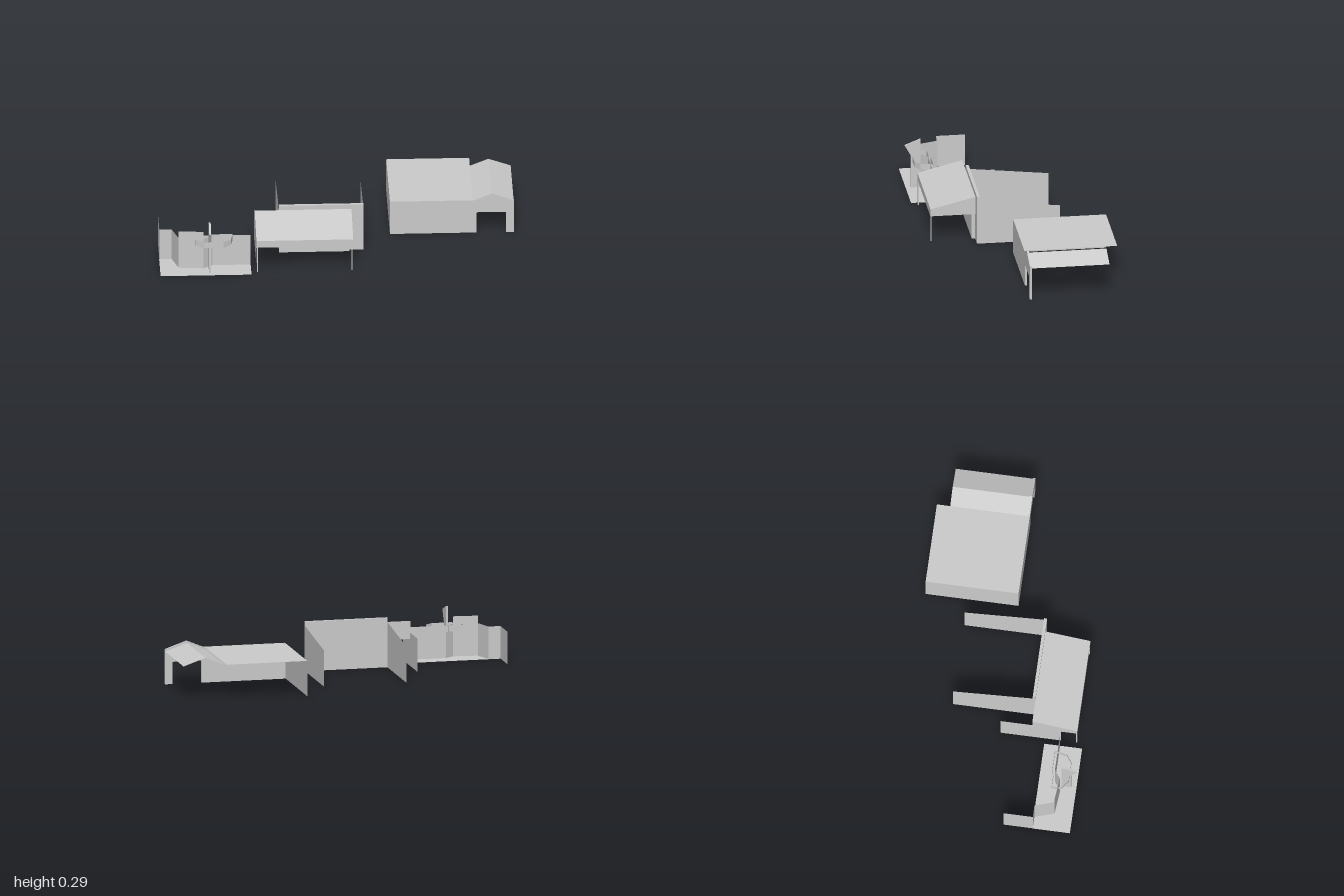
import * as THREE from 'three';

const mat = new THREE.MeshStandardMaterial({ color: 0xcccccc, side: THREE.DoubleSide, flatShading: true });

function add(parent, name, geometry) {
  const mesh = new THREE.Mesh(geometry, mat);
  mesh.name = name;
  parent.add(mesh);
  return mesh;
}

function group(parent, name) {
  const g = new THREE.Group();
  g.name = name;
  parent.add(g);
  return g;
}

// Box given by its two extreme corners
function box(parent, name, x0, x1, y0, y1, z0, z1) {
  const g = new THREE.BoxGeometry(x1 - x0, y1 - y0, z1 - z0);
  g.translate((x0 + x1) / 2, (y0 + y1) / 2, (z0 + z1) / 2);
  return add(parent, name, g);
}

const shapeOf = (points) => new THREE.Shape(points.map(([a, b]) => new THREE.Vector2(a, b)));

// Prism with a [z, y] profile, running from x0 to x1
function prismX(parent, name, points, x0, x1) {
  const g = new THREE.ExtrudeGeometry(shapeOf(points), { depth: x1 - x0, bevelEnabled: false });
  g.rotateY(-Math.PI / 2).translate(x1, 0, 0);
  return add(parent, name, g);
}

// Thin panel with a [z, y] outline at constant x
function panelX(parent, name, points, x) {
  const g = new THREE.ShapeGeometry(shapeOf(points));
  g.rotateY(-Math.PI / 2).translate(x, 0, 0);
  return add(parent, name, g);
}

// Sheet between two equal-length rails of 3D points
function sheet(parent, name, railA, railB) {
  const pos = [], index = [];
  railA.forEach((p, i) => {
    pos.push(...p, ...railB[i]);
    if (i) index.push(2 * i - 2, 2 * i, 2 * i - 1, 2 * i - 1, 2 * i, 2 * i + 1);
  });
  const g = new THREE.BufferGeometry();
  g.setAttribute('position', new THREE.Float32BufferAttribute(pos, 3));
  g.setIndex(index);
  g.computeVertexNormals();
  return add(parent, name, g);
}

// Upright thin wall along [x, z] plan points
const wall = (parent, name, plan, y0, y1) =>
  sheet(parent, name, plan.map(([x, z]) => [x, y0, z]), plan.map(([x, z]) => [x, y1, z]));

export function createModel() {
  const model = new THREE.Group();
  model.name = 'houseFacades';

  // Wide building: gabled front wall with a doorway, one side wall, flat roof and small gable roof
  const hall = group(model, 'gabledBuilding');
  const front = shapeOf([[0.305, 0], [0.79, 0], [0.79, 0.127], [0.957, 0.127], [0.957, 0], [1, 0],
    [1, 0.2], [0.875, 0.243], [0.78, 0.203], [0.305, 0.203]]);
  add(hall, 'frontWall', new THREE.ExtrudeGeometry(front, { depth: 0.012, bevelEnabled: false }).translate(0, 0, 0.014));
  panelX(hall, 'sideWall', [[-0.5, 0], [0.026, 0], [0.026, 0.202], [-0.5, 0.202]], 0.305);
  sheet(hall, 'flatRoof', [[0.305, 0.202, 0.026], [0.77, 0.202, 0.026]], [[0.305, 0.202, -0.5], [0.77, 0.202, -0.5]]);
  const gable = [[0.77, 0.19], [0.875, 0.232], [1, 0.188]];
  sheet(hall, 'gableRoof', gable.map(([x, y]) => [x, y, 0.014]), gable.map(([x, y]) => [x, y, -0.425]));

  // Middle building: tall front wall, sloping side walls, porch roof on thin posts
  const porch = group(model, 'porchBuilding');
  box(porch, 'frontWall', -0.325, 0.15, 0, 0.283, 0.192, 0.209);
  box(porch, 'entrancePanel', -0.325, 0.07, 0, 0.152, 0.209, 0.228);
  for (const x of [-0.325, 0.15]) {
    panelX(porch, 'sideWall', [[-0.26, 0], [0.2, 0], [0.2, 0.259], [-0.26, 0.207]], x);
  }
  panelX(porch, 'outerSideWall', [[0.027, 0], [0.37, 0], [0.37, 0.152], [0.21, 0.19], [0.027, 0.19]], -0.458);
  prismX(porch, 'porchRoof', [[0.209, 0.152], [0.463, 0.152], [0.463, 0.194], [0.209, 0.256]], -0.461, 0.082);
  for (const x of [-0.455, 0.076]) box(porch, 'post', x - 0.003, x + 0.003, 0, 0.152, 0.456, 0.462);

  // Small building: folded front, floor plate, open bay rim and upright fin
  const shop = group(model, 'bayBuilding');
  sheet(shop, 'floorPlate', [[-1, 0, 0.495], [-0.49, 0, 0.495]], [[-1, 0, 0.28], [-0.49, 0, 0.28]]);
  wall(shop, 'foldedWall', [[-0.999, 0.12], [-0.999, 0.285], [-0.93, 0.285], [-0.895, 0.394]], 0, 0.186);
  wall(shop, 'tallWall', [[-0.895, 0.394], [-0.755, 0.407]], 0, 0.229);
  wall(shop, 'mainWall', [[-0.755, 0.407], [-0.705, 0.37], [-0.49, 0.37]], 0, 0.186);
  wall(shop, 'bayRim', [[-0.805, 0.365], [-0.72, 0.365], [-0.715, 0.355], [-0.59, 0.355], [-0.603, 0.425],
    [-0.645, 0.455], [-0.755, 0.455], [-0.8, 0.42], [-0.805, 0.365]], 0.152, 0.186);
  prismX(shop, 'fin', [[0.41, 0], [0.465, 0], [0.465, 0.193], [0.5, 0.255], [0.41, 0.29]], -0.727, -0.716);

  return model;
}
